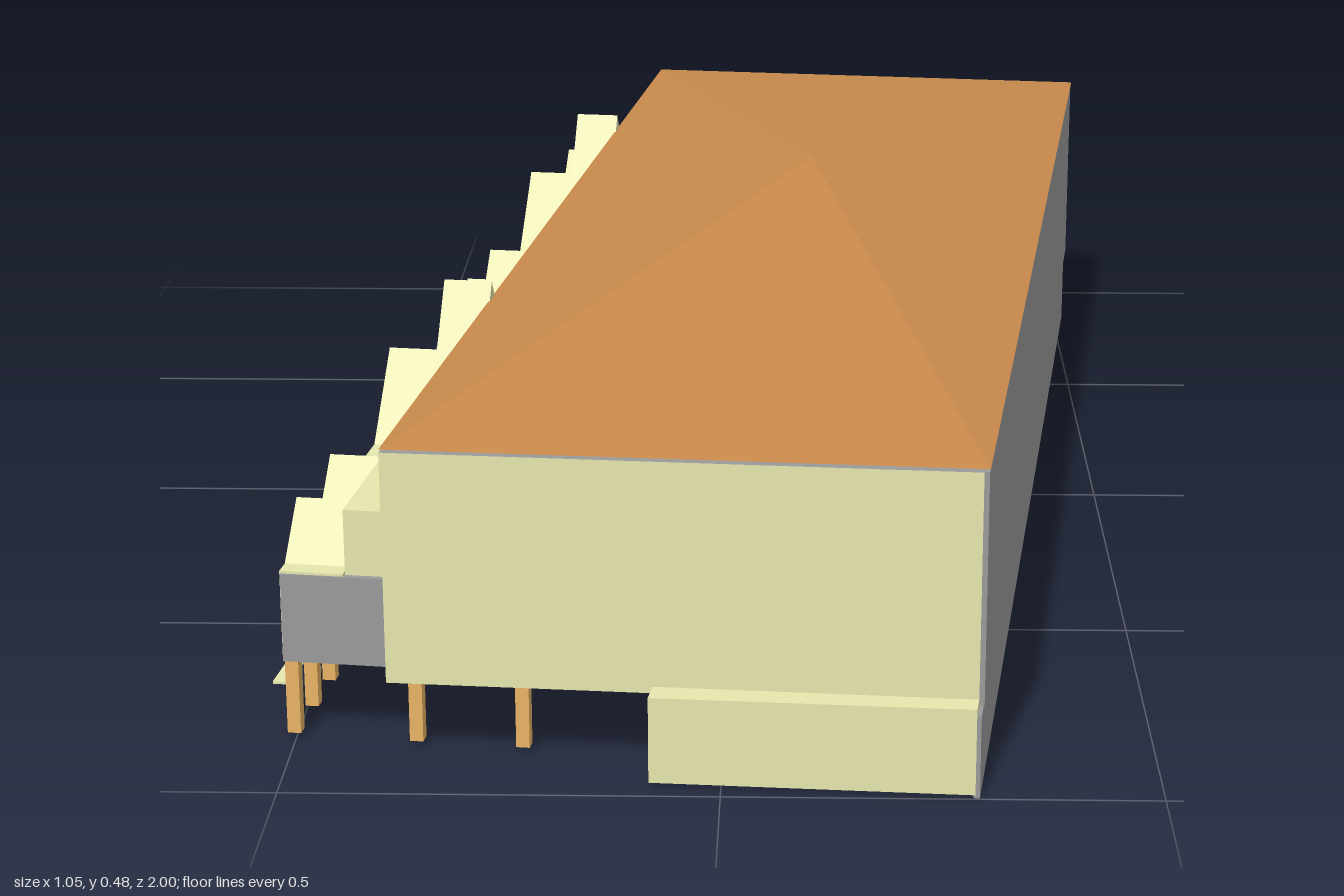
import * as THREE from 'three';

const mat = (name, color, side = THREE.FrontSide) => {
  const m = new THREE.MeshStandardMaterial({ color, side });
  m.name = name;
  return m;
};

export function createModel() {
  const cream = mat('cream render', 0xe6e6ae);
  const ochre = mat('ochre wall', 0xe8b364);
  const grey = mat('grey wall', 0x9a9a9a);
  const tile = mat('terracotta roof', 0xc98a4c, THREE.DoubleSide);

  const root = new THREE.Group();
  root.name = 'stationBuilding';
  const site = new THREE.Group();
  site.name = 'building';
  site.rotation.y = -0.12; // the whole plan sits slightly turned
  root.add(site);

  const add = (name, geometry, material) => {
    const m = new THREE.Mesh(geometry, material);
    m.name = name;
    site.add(m);
    return m;
  };
  const box = (name, material, x0, x1, y0, y1, z0, z1) => {
    const g = new THREE.BoxGeometry(x1 - x0, y1 - y0, z1 - z0);
    g.translate((x0 + x1) / 2, (y0 + y1) / 2, (z0 + z1) / 2);
    return add(name, g, material);
  };
  const shapeOf = (pts) => new THREE.Shape(pts.map(([a, b]) => new THREE.Vector2(a, b)));
  // Upright prism over a plan of [x, z] corners
  const prism = (name, pts, y0, y1, material) => {
    const g = new THREE.ExtrudeGeometry(shapeOf(pts.map(([x, z]) => [x, -z])), { depth: y1 - y0, bevelEnabled: false });
    g.rotateX(-Math.PI / 2);
    g.translate(0, y0, 0);
    return add(name, g, material);
  };
  // Gabled elevation of [z, y] corners, given depth along x
  const elevation = (name, pts, x0, x1, material) => {
    const g = new THREE.ExtrudeGeometry(shapeOf(pts), { depth: x1 - x0, bevelEnabled: false });
    g.rotateY(-Math.PI / 2);
    g.translate(x1, 0, 0);
    return add(name, g, material);
  };

  // Ground floor, its left wall running diagonally under the overhang
  prism('groundFloor', [[0.402, 0.93], [0.04, 0.93], [0, 0.48], [-0.38, -0.925], [0.402, -0.925]], 0.004, 0.104, ochre);
  prism('frontPlinth', [[0.404, 0.957], [0.035, 0.976], [0.035, 0.9], [0.404, 0.9]], 0.008, 0.112, cream);
  box('lowerSideWall', grey, 0.402, 0.409, 0.004, 0.104, -0.915, 0.956);

  // Downward-facing floor beside it, and the front-facing wall that closes it
  const paving = new THREE.ShapeGeometry(shapeOf([[0, 0.48], [-0.385, 0.3], [-0.38, -0.925]]));
  paving.rotateX(Math.PI / 2);
  paving.translate(0, 0.004, 0);
  add('undersidePaving', paving, grey);
  const recess = add('recessWall', new THREE.PlaneGeometry(Math.hypot(0.385, 0.18), 0.1), ochre);
  recess.position.set(-0.1925, 0.054, 0.39);
  recess.rotation.y = -Math.atan2(0.18, 0.385);

  // Main hall
  prism('mainHall', [[0.404, 0.928], [-0.271, 0.957], [-0.271, -0.973], [0.404, -0.973]], 0.104, 0.382, [grey, cream]);
  box('upperSideWall', grey, 0.402, 0.41, 0.104, 0.382, -0.97, 0.926);

  // Low pyramid roof
  const c = [[-0.27, 0.961], [0.411, 0.93], [0.411, -0.978], [-0.27, -0.978]];
  const apex = [0.093, 0.48, -0.062];
  const v = [];
  c.forEach(([x, z], i) => {
    const [x2, z2] = c[(i + 1) % 4];
    v.push(x, 0.387, z, x2, 0.387, z2, ...apex);
  });
  const roof = new THREE.BufferGeometry();
  roof.setAttribute('position', new THREE.Float32BufferAttribute(v, 3));
  roof.computeVertexNormals();
  add('roof', roof, tile);

  // Bay centres along the arcade
  const bay = (i) => -0.857 + i * 0.153;
  const gabled = (z0, z1, bottom, eave, gables) => {
    const pts = [[z0, bottom], [z1, bottom], [z1, eave]];
    [...gables].reverse().forEach(([i, half, peak]) => {
      pts.push([Math.min(bay(i) + half, z1 - 0.002), eave], [bay(i), peak], [Math.max(bay(i) - half, z0 + 0.002), eave]);
    });
    pts.push([z0, eave]);
    return pts;
  };
  const small = [0.06, 0.275], large = [0.095, 0.315];
  const frontGables = [[0, ...small], [2, ...large], [4, ...small], [5, ...small], [6, ...small], [8, ...large], [10, ...small], [11, ...small]];
  elevation('arcadeFront', gabled(-0.93, 0.91, 0.108, 0.215, frontGables), -0.405, -0.33, cream);
  elevation('arcadeUpperTier', gabled(-0.95, 0.9, 0.212, 0.29, [[2, 0.08, 0.41], [8, 0.08, 0.41]]), -0.33, -0.268, cream);
  box('arcadeLowerTier', cream, -0.33, -0.268, 0.108, 0.212, -0.92, 0.9);
  box('arcadeSoffit', grey, -0.405, -0.27, 0.103, 0.108, -0.93, 0.91);
  box('arcadeEndWall', grey, -0.404, -0.27, 0.108, 0.212, 0.904, 0.912);

  // Outward-facing apron hanging below the arcade wall
  const apron = add('arcadeApron', new THREE.PlaneGeometry(1.84, 0.045), cream);
  apron.position.set(-0.406, 0.0875, -0.01);
  apron.rotation.y = -Math.PI / 2;

  // Windows and the thin ledges below them
  for (let i = 0; i < 12; i++) {
    if (i === 2 || i === 8) continue;
    box('window', grey, -0.408, -0.402, 0.13, 0.2, bay(i) - 0.046, bay(i) + 0.046);
    box('ledge', cream, -0.425, -0.405, 0.064, 0.067, bay(i) - 0.062, bay(i) + 0.062);
  }

  // Slim posts along the arcade and under the front overhang
  for (let i = 0; i < 24; i++) {
    const z = -0.915 + i * 0.0787;
    box('arcadePost', ochre, -0.405, -0.389, 0.01, 0.104, z - 0.008, z + 0.008);
  }
  for (const x of [-0.25, -0.124]) box('frontPost', ochre, x - 0.008, x + 0.008, 0.01, 0.104, 0.89, 0.906);

  return root;
}
